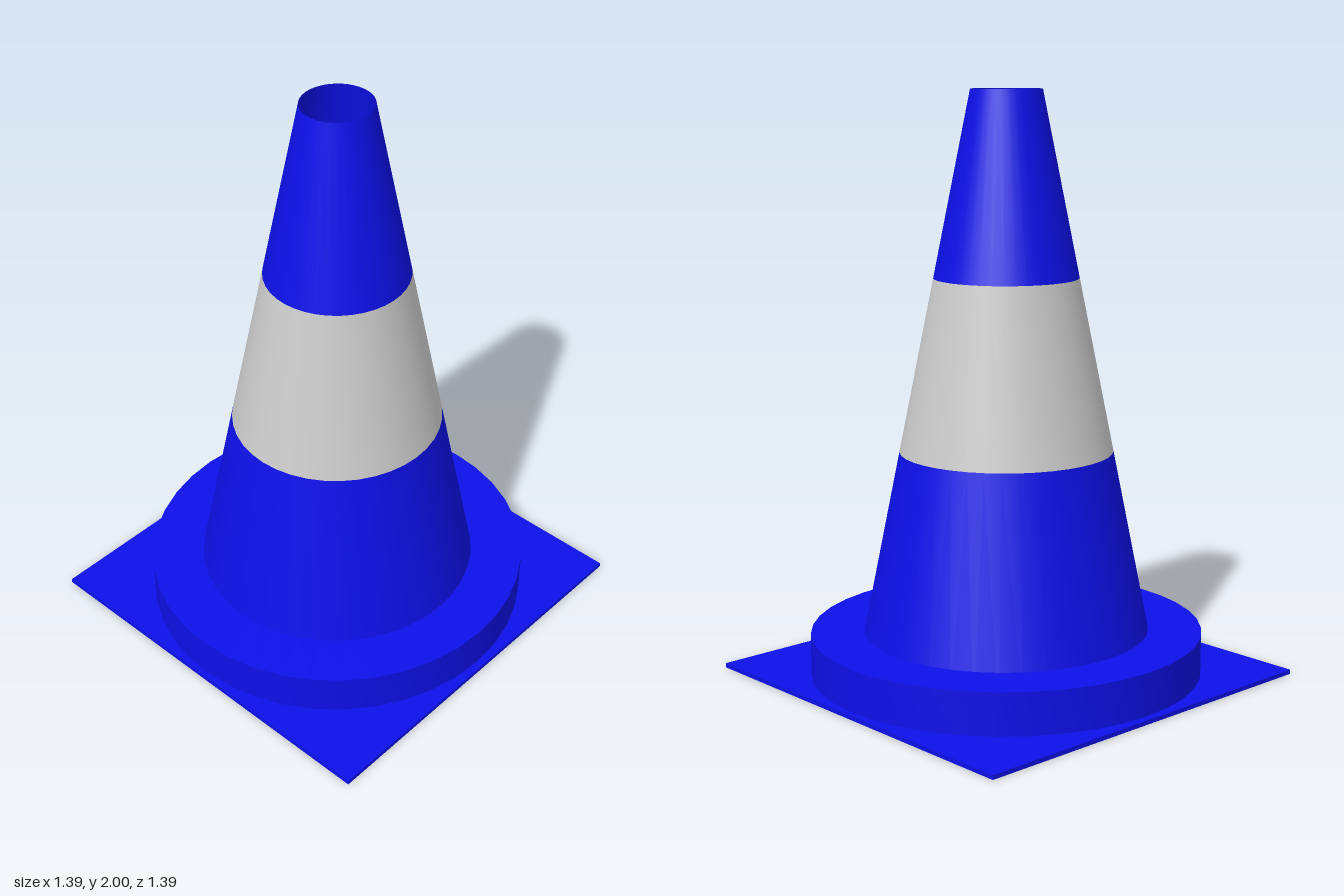
import * as THREE from 'three';
import { toCreasedNormals } from 'three/addons/utils/BufferGeometryUtils.js';

const SIDES = 40;
const PLATE_TOP = 0.015;
const RING_TOP = 0.16;

const blue = new THREE.MeshStandardMaterial({ color: 0x0d10e8, side: THREE.DoubleSide });
const grey = new THREE.MeshStandardMaterial({ color: 0xcccccc, side: THREE.DoubleSide });

// Radius of the tapering cone wall at height y
const coneRadius = (y) => THREE.MathUtils.mapLinear(y, RING_TOP, 2, 0.493, 0.121);

// Revolves a profile of [radius, height] points listed from the bottom up
function turned(name, profile, material) {
  const points = profile.map(([r, y]) => new THREE.Vector2(r, y));
  const geometry = toCreasedNormals(new THREE.LatheGeometry(points, SIDES), 0.6);
  const mesh = new THREE.Mesh(geometry, material);
  mesh.name = name;
  mesh.scale.z = 0.985; // very slightly narrower front to back
  return mesh;
}

export function createModel() {
  const model = new THREE.Group();
  model.name = 'trafficCone';

  // Thin square plate on the ground
  const plate = new THREE.Mesh(new THREE.BoxGeometry(1.394, PLATE_TOP, 1.386), blue);
  plate.name = 'basePlate';
  plate.position.y = PLATE_TOP / 2;
  model.add(plate);

  // Round collar around the foot of the cone
  model.add(turned('baseRing', [
    [0.678, PLATE_TOP],
    [0.678, RING_TOP],
    [coneRadius(RING_TOP), RING_TOP],
  ], blue));

  // Hollow cone wall, open at the top, in three bands
  const bands = [
    ['lowerCone', PLATE_TOP, 0.785, blue],
    ['reflectiveBand', 0.785, 1.375, grey],
    ['upperCone', 1.375, 2, blue],
  ];
  for (const [name, y0, y1, material] of bands) {
    model.add(turned(name, [[coneRadius(y0), y0], [coneRadius(y1), y1]], material));
  }

  return model;
}
